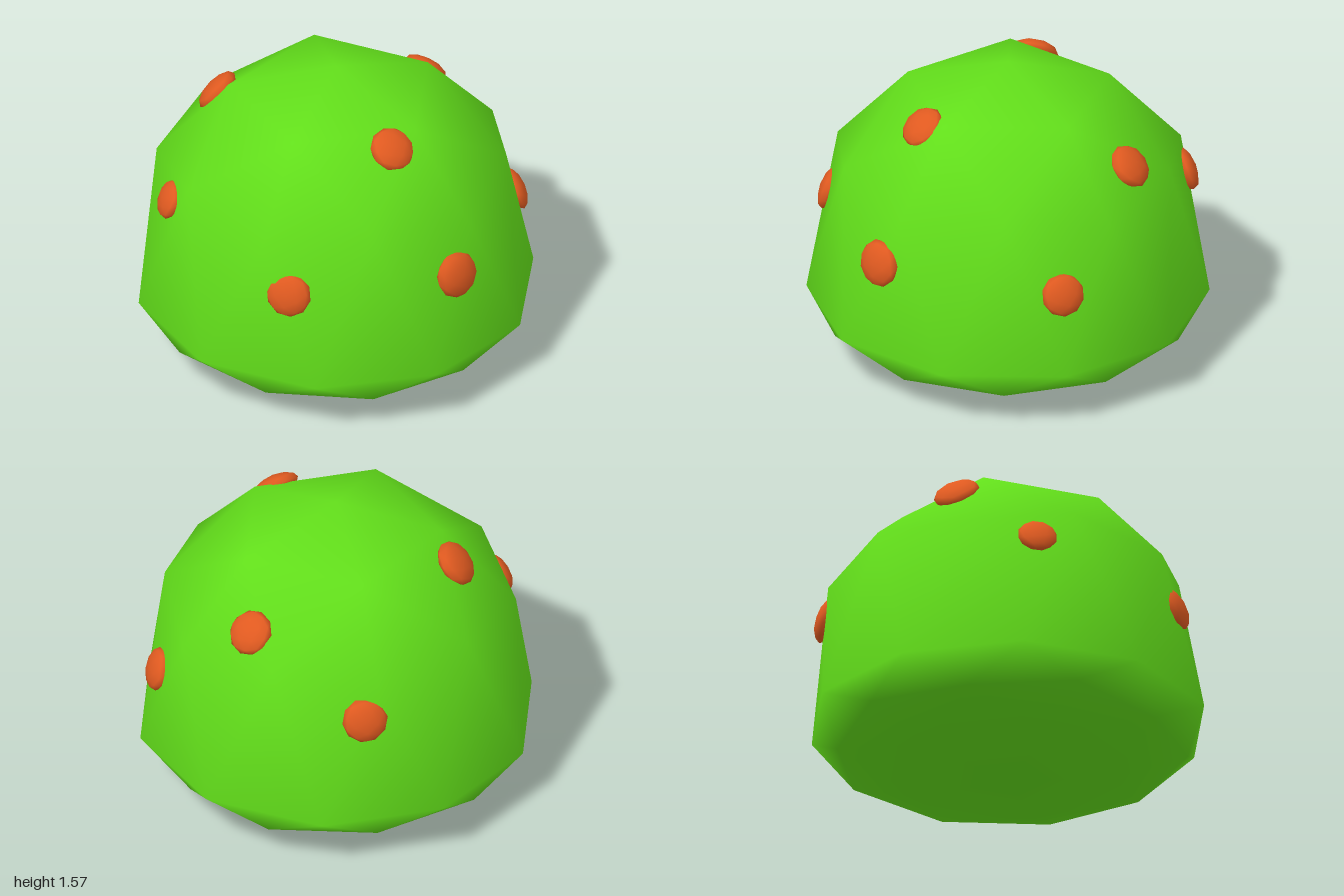
import * as THREE from 'three';
import { mergeVertices } from 'three/addons/utils/BufferGeometryUtils.js';

// Smooth-shaded 42-point icosphere with a point straight up and one ring point towards +x
function icoBall(reshape) {
  let g = new THREE.IcosahedronGeometry(1, 1);
  g.rotateX(-Math.atan((1 + Math.sqrt(5)) / 2)).rotateY(Math.PI / 2);
  g.deleteAttribute('uv');
  g.deleteAttribute('normal');
  g = mergeVertices(g, 1e-3);
  const p = g.attributes.position;
  const v = new THREE.Vector3();
  for (let i = 0; i < p.count; i++) {
    reshape(v.fromBufferAttribute(p, i));
    p.setXYZ(i, v.x, v.y, v.z);
  }
  g.computeVertexNormals();
  return g;
}

export function createModel() {
  const model = new THREE.Group();
  model.name = 'spottedDome';
  const green = new THREE.MeshStandardMaterial({ color: 0x62de1a });
  const orange = new THREE.MeshStandardMaterial({ color: 0xe05a20 });

  // Dome body: round top, equator pulled down, shallow underside
  const body = new THREE.Mesh(icoBall((v) => {
    v.y = v.y > 0.01 ? 0.585 + 0.99 * v.y : 0.31 + 0.31 * v.y;
  }), green);
  body.name = 'body';
  body.position.x = -0.007;
  model.add(body);

  // Flattened spots: x, y, z, upward tilt in degrees, radius
  const spots = [
    [-0.45, 0.95, 0.74, 25, 0.10],
    [0.40, 0.785, 0.80, 18, 0.115],
    [0.90, 0.79, 0.11, 13, 0.12],
    [-0.565, 1.315, 0.26, 42, 0.12],
    [0.50, 1.37, 0.145, 50, 0.115],
    [0.52, 0.725, -0.745, 20, 0.11],
    [-0.06, 1.195, -0.72, 43, 0.115],
    [-0.69, 0.88, -0.59, 18, 0.115],
  ];
  const spotGeometry = icoBall((v) => { v.y *= 0.45; });
  const up = new THREE.Vector3(0, 1, 0);
  spots.forEach(([x, y, z, tilt, radius], i) => {
    const spot = new THREE.Mesh(spotGeometry, orange);
    spot.name = `spot${i + 1}`;
    spot.position.set(x, y, z);
    const rise = Math.hypot(x, z) * Math.tan(THREE.MathUtils.degToRad(tilt));
    spot.quaternion.setFromUnitVectors(up, new THREE.Vector3(x, rise, z).normalize());
    spot.scale.setScalar(radius);
    model.add(spot);
  });
  return model;
}
